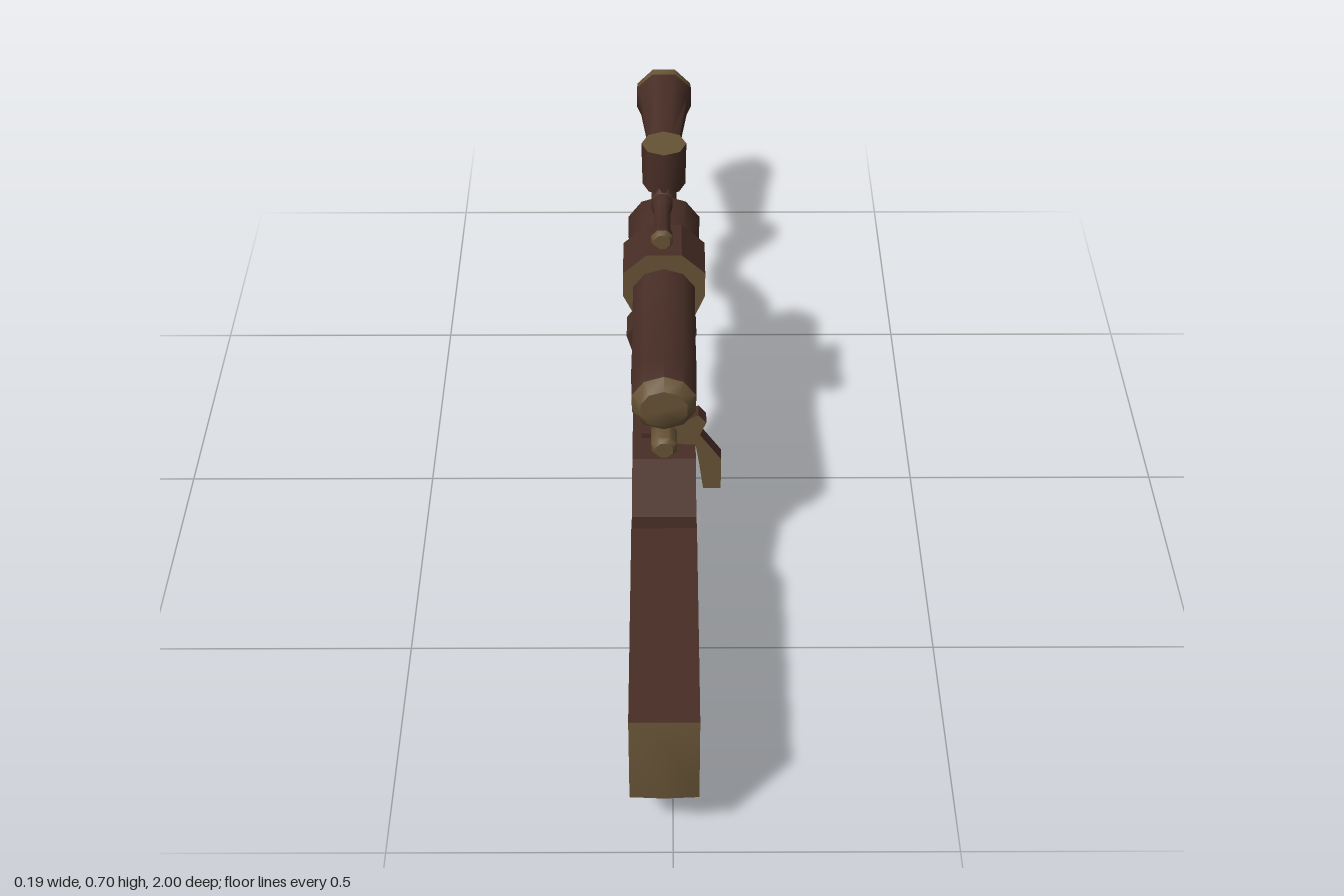
import * as THREE from 'three';
import { toCreasedNormals } from 'three/addons/utils/BufferGeometryUtils.js';

const CX = -0.015; // middle plane of the model

export function createModel() {
  const model = new THREE.Group();
  const brown = new THREE.MeshStandardMaterial({ color: 0x482e26 });
  brown.name = 'dark brown wood';
  const olive = new THREE.MeshStandardMaterial({ color: 0x675336 });
  olive.name = 'olive brass';
  const both = [brown, olive];

  function add(name, geometry, material) {
    const mesh = new THREE.Mesh(geometry, material);
    mesh.name = name;
    model.add(mesh);
    return mesh;
  }

  function extrude(points, depth) {
    const shape = new THREE.Shape(points.map(([a, b]) => new THREE.Vector2(a, b)));
    return new THREE.ExtrudeGeometry(shape, { depth, bevelEnabled: false });
  }

  // Side outline of [z, y] points, extruded from x0 to x1
  function sidePart(name, points, x0, x1, cap, wall) {
    const g = extrude(points.map(([z, y]) => [-z, y]), x1 - x0);
    g.rotateY(Math.PI / 2).translate(x0, 0, 0);
    return add(name, g, [cap, wall]);
  }

  // Front outline of [x, y] points, extruded from z0 to z1
  function frontPart(name, points, z0, z1, cap, wall) {
    return add(name, extrude(points, z1 - z0).translate(0, 0, z0), [cap, wall]);
  }

  // Rounded body through sections [z, y, rx, ry, colour of the span that follows], from +z to -z
  function loft(name, sections, { sides = 8, x = CX, startCap = 1, endCap = 1 } = {}) {
    const pos = [], index = [], g = new THREE.BufferGeometry();
    sections.forEach(([z, y, rx, ry], i) => {
      const a = sections[Math.max(i - 1, 0)], b = sections[Math.min(i + 1, sections.length - 1)];
      const len = Math.hypot(b[0] - a[0], b[1] - a[1]);
      const tz = (b[0] - a[0]) / len, ty = (b[1] - a[1]) / len;
      for (let j = 0; j < sides; j++) {
        const t = ((j + 0.5) / sides) * Math.PI * 2, s = Math.sin(t) * ry;
        pos.push(x + Math.cos(t) * rx, y - tz * s, z + ty * s);
      }
    });
    const cap = (ring, flip, colour) => {
      const from = index.length, centre = pos.length / 3;
      pos.push(x, sections[ring][1], sections[ring][0]);
      for (let j = 0; j < sides; j++) {
        const p = ring * sides + j, q = ring * sides + (j + 1) % sides;
        index.push(centre, flip ? q : p, flip ? p : q);
      }
      g.addGroup(from, index.length - from, colour);
    };
    for (let i = 0; i < sections.length - 1; i++) {
      const from = index.length;
      for (let j = 0; j < sides; j++) {
        const k = (j + 1) % sides, a = i * sides + j, b = i * sides + k;
        index.push(a, a + sides, b, b, a + sides, b + sides);
      }
      g.addGroup(from, index.length - from, sections[i][4] ?? 0);
    }
    cap(0, false, startCap);
    cap(sections.length - 1, true, endCap);
    g.setAttribute('position', new THREE.Float32BufferAttribute(pos, 3));
    g.setIndex(index);
    return add(name, toCreasedNormals(g, 0.85), both);
  }

  // Wooden stock with its jagged lower edge
  sidePart('stock', [
    [0.985, 0.315], [0.975, 0.12], [0.915, 0.08], [0.785, 0.085], [0.757, 0.155], [0.714, 0.112],
    [0.703, 0.155], [0.65, 0.123], [0.586, 0.155], [0.57, 0.14], [0.516, 0.18], [0.462, 0.155],
    [0.425, 0.214], [0.33, 0.283], [-0.03, 0.31], [-0.03, 0.345], [0.33, 0.335], [0.445, 0.29], [0.515, 0.325],
  ], -0.075, 0.045, brown, brown);

  // Ridged plate over the end of the stock
  const rim = [[0.315, 0.986], [0.12, 0.976], [0.08, 0.915]];
  const ridge = [[0.28, 1], [0.13, 0.988], [0.068, 0.915]];
  const platePos = [];
  [[-0.075, rim], [CX, ridge], [0.045, rim]].forEach(([x, row]) => row.forEach(([y, z]) => platePos.push(x, y, z)));
  const plateIndex = [0, 3, 6];
  for (const c of [0, 3]) for (const r of [0, 1]) {
    const a = c + r;
    plateIndex.push(a, a + 1, a + 4, a, a + 4, a + 3);
  }
  const plate = new THREE.BufferGeometry();
  plate.setAttribute('position', new THREE.Float32BufferAttribute(platePos, 3));
  plate.setIndex(plateIndex);
  add('buttPlate', toCreasedNormals(plate, 0.6), olive);

  // Lower frame with the grip
  sidePart('lowerFrame', [
    [0.86, 0.14], [0.86, 0.075], [0.84, 0.035], [0.74, 0.01], [0.57, 0.07], [0.46, 0.09], [0.465, 0.04],
    [0.37, 0.005], [0.325, 0.03], [0.34, 0.13], [0.25, 0.19], [-0.03, 0.28], [-0.03, 0.325], [0.33, 0.3],
    [0.42, 0.25], [0.5, 0.2],
  ], -0.06, 0.033, olive, brown);

  // Guard loop and trigger
  sidePart('triggerGuard', [
    [0.25, 0.2], [0.18, 0.095], [0.04, 0.095], [-0.08, 0.275], [-0.01, 0.27], [0.05, 0.118], [0.165, 0.118], [0.215, 0.2],
  ], -0.045, 0.015, olive, brown);
  sidePart('trigger', [[0.215, 0.185], [0.19, 0.155], [0.14, 0.18], [0.08, 0.24], [0.15, 0.25]], -0.03, 0, olive, brown);

  // Lumpy fore end under the barrel
  const foreEnd = [[0, 0.25], [-0.075, 0.275], [-0.105, 0.25], [-0.19, 0.25], [-0.245, 0.28], [-0.275, 0.265], [-0.32, 0.285]];
  loft('foreEnd', foreEnd.map(([z, low]) => [z, (0.335 + low) / 2, 0.045, (0.335 - low) / 1.85, 1]));

  // Receiver top and bent barrel
  const rail = new THREE.BoxGeometry(0.087, 0.035, 0.3);
  add('receiverTop', rail.translate(CX, 0.33, 0.12), brown);
  loft('barrel', [
    [0.03, 0.36, 0.045, 0.05], [-0.04, 0.36, 0.045, 0.05], [-0.17, 0.366, 0.037, 0.037], [-0.385, 0.366, 0.042, 0.034],
    [-0.465, 0.33, 0.034, 0.034], [-0.535, 0.266, 0.03, 0.034], [-0.6, 0.262, 0.03, 0.034],
    [-0.635, 0.3, 0.03, 0.032], [-0.65, 0.35, 0.03, 0.03],
  ], { startCap: 0, endCap: 0 });

  // Upright cup with a brass lid, and the flared horn
  const cup = new THREE.CylinderGeometry(0.05, 0.048, 0.105, 8).translate(CX, 0.365, -0.657);
  add('muzzleCup', toCreasedNormals(cup, 0.85), [brown, olive, brown]);
  loft('muzzleHorn', [
    [-0.67, 0.365, 0.035, 0.028], [-0.72, 0.365, 0.035, 0.03], [-0.9, 0.365, 0.057, 0.056],
    [-0.945, 0.364, 0.068, 0.066, 1], [-0.965, 0.364, 0.066, 0.07, 1], [-0.988, 0.366, 0.045, 0.048, 1], [-1, 0.366, 0.02, 0.022],
  ], { startCap: 0 });

  // Bolt with knob, and its side lever
  loft('bolt', [
    [0.345, 0.367, 0.018, 0.018, 1], [0.335, 0.367, 0.026, 0.025, 1], [0.295, 0.367, 0.026, 0.025, 1],
    [0.29, 0.367, 0.022, 0.022, 1], [0.245, 0.367, 0.022, 0.022, 0], [0.243, 0.367, 0.032, 0.031, 0],
    [0.125, 0.367, 0.032, 0.031, 1], [0.123, 0.367, 0.028, 0.028, 1], [-0.03, 0.367, 0.028, 0.028, 1],
  ]);
  frontPart('boltLever', [
    [-0.04, 0.345], [0.045, 0.335], [0.052, 0.29], [0.06, 0.228], [0.094, 0.228], [0.094, 0.3],
    [0.053, 0.36], [0.065, 0.39], [0.05, 0.408], [0.02, 0.392], [-0.04, 0.392],
  ], 0.26, 0.29, olive, brown);

  // Scope mount: clamp, post and side wedge
  frontPart('scopeClamp', [
    [-0.06, 0.4], [0.035, 0.4], [0.066, 0.475], [0.066, 0.53], [0.02, 0.573], [-0.048, 0.573], [-0.095, 0.53], [-0.095, 0.475],
  ], -0.105, 0, olive, brown);
  frontPart('scopePost', [[-0.065, 0.32], [0.035, 0.32], [0.05, 0.36], [0.035, 0.41], [-0.06, 0.41]], -0.085, -0.025, olive, brown);
  frontPart('mountWedge', [[-0.06, 0.405], [-0.09, 0.36], [-0.08, 0.325], [-0.05, 0.325]], -0.087, -0.023, brown, brown);

  // Scope tube with brass ends
  loft('scope', [
    [0.38, 0.493, 0.045, 0.042, 1], [0.36, 0.493, 0.062, 0.06, 0], [0.29, 0.49, 0.064, 0.058], [0.14, 0.482, 0.063, 0.046],
    [0, 0.478, 0.064, 0.062], [-0.11, 0.488, 0.07, 0.07], [-0.22, 0.492, 0.076, 0.076, 1], [-0.25, 0.492, 0.05, 0.055],
  ], { sides: 10 });

  // Loose pin floating above
  loft('floatingPin', [
    [0.125, 0.689, 0.016, 0.016, 1], [0.115, 0.689, 0.022, 0.022], [0.085, 0.688, 0.017, 0.017],
    [0.02, 0.688, 0.017, 0.017], [-0.01, 0.688, 0.022, 0.022, 1], [-0.02, 0.688, 0.018, 0.018],
  ], { x: -0.018 });

  return model;
}
